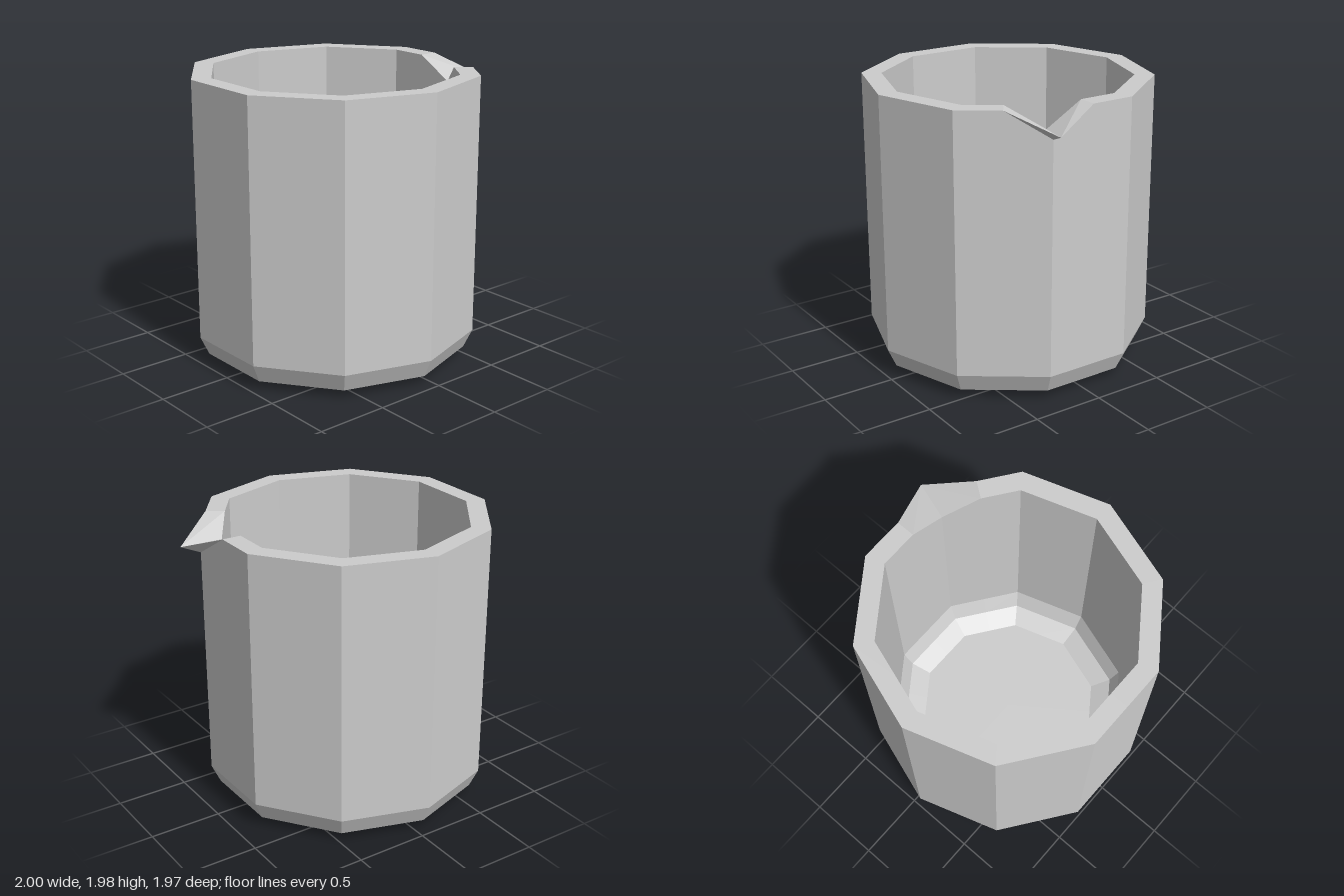
import * as THREE from 'three';

const SIDES = 10;
const CENTER_X = -0.0625;

// Ring of corners and edge midpoints; point 0 is the corner that carries the spout
function ring(radius, y, spoutPoint) {
  const corner = (k) => {
    const a = ((18 + 36 * k) * Math.PI) / 180;
    return new THREE.Vector3(CENTER_X + radius * Math.cos(a), y, radius * Math.sin(a));
  };
  const points = [];
  for (let k = 0; k < SIDES; k++) {
    points.push(corner(k), corner(k).lerp(corner(k + 1), 0.5));
  }
  if (spoutPoint) points[0].set(...spoutPoint);
  return points;
}

// Flat-shaded skin through successive rings, skipping collapsed triangles
function skin(rings) {
  const positions = [];
  const triangle = (a, b, c) => {
    if (new THREE.Triangle(a, b, c).getArea() < 1e-6) return;
    for (const p of [a, b, c]) positions.push(p.x, p.y, p.z);
  };
  for (let r = 0; r < rings.length - 1; r++) {
    const lower = rings[r], upper = rings[r + 1];
    const n = lower.length;
    for (let i = 0; i < n; i++) {
      const j = (i + 1) % n;
      // Mirror the diagonals about each corner
      if (i % 2 === 0) {
        triangle(lower[i], upper[i], upper[j]);
        triangle(lower[i], upper[j], lower[j]);
      } else {
        triangle(lower[i], upper[i], lower[j]);
        triangle(upper[i], upper[j], lower[j]);
      }
    }
  }
  const geometry = new THREE.BufferGeometry();
  geometry.setAttribute('position', new THREE.Float32BufferAttribute(positions, 3));
  geometry.computeVertexNormals();
  return geometry;
}

export function createModel() {
  const group = new THREE.Group();
  group.name = 'beaker';
  const grey = new THREE.MeshStandardMaterial({ color: 0xcccccc });
  grey.name = 'light grey';

  const add = (name, rings) => {
    const mesh = new THREE.Mesh(skin(rings), grey);
    mesh.name = name;
    group.add(mesh);
  };

  // Rim rings: the wall corner drops, the tip pulls out, the inner corner dips
  const outerTop = ring(0.985, 1.975, [0.874, 1.795, 0.304]);
  const lip = ring(0.985, 1.975, [1.0, 1.845, 0.342]);
  const innerTop = ring(0.85, 1.975, [0.746, 1.825, 0.263]);

  // Outside: base, two bevels and the straight wall
  add('outerWall', [ring(0, 0), ring(0.785, 0), ring(0.925, 0.06), ring(0.985, 0.19), outerTop]);
  // Rim with the pouring spout and its underside
  add('rimAndSpout', [outerTop, lip, innerTop]);
  // Inside: wall, two bevels and the floor
  add('innerWall', [innerTop, ring(0.85, 0.32), ring(0.79, 0.19), ring(0.65, 0.13), ring(0, 0.13)]);

  return group;
}
